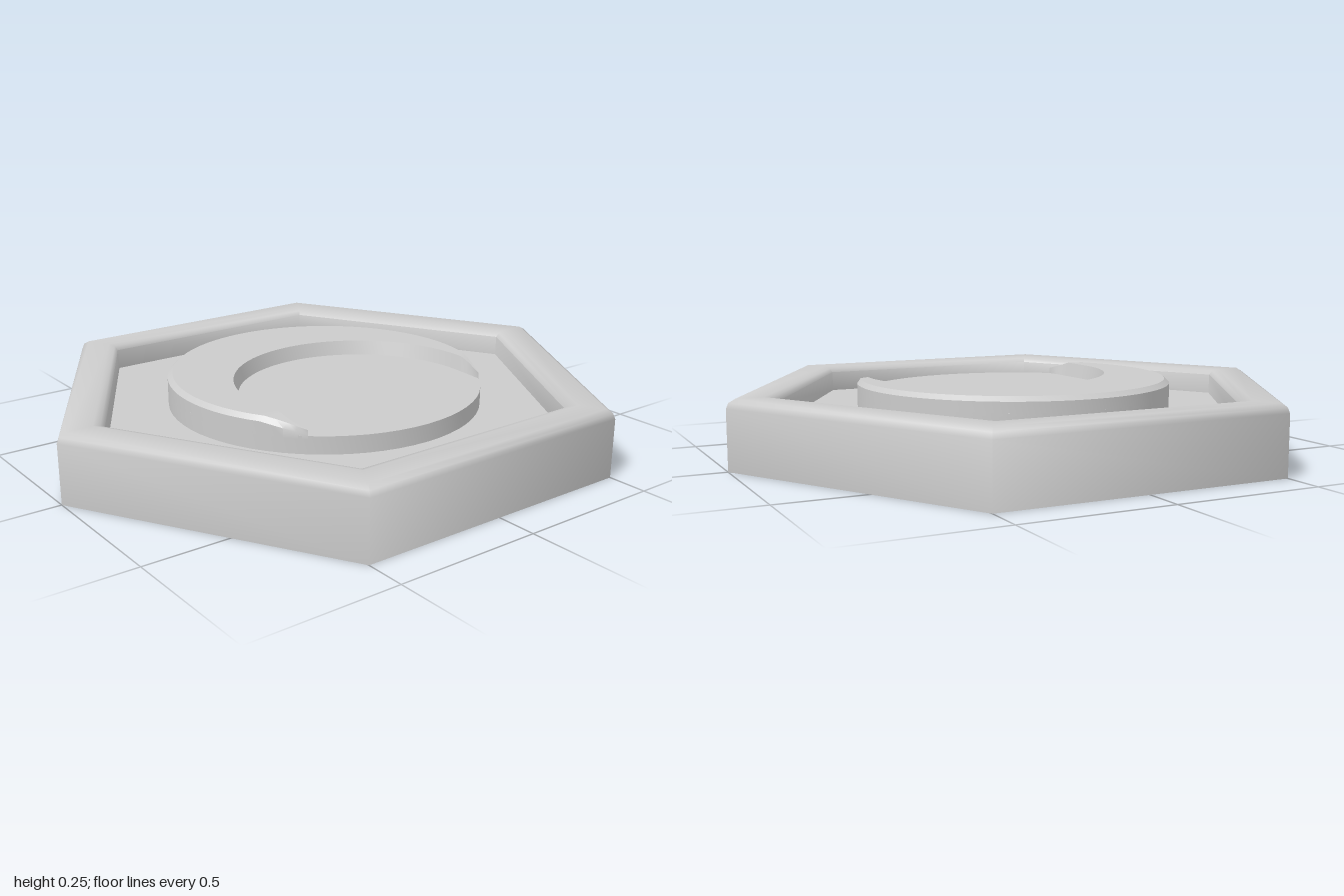
import * as THREE from 'three';
import { toCreasedNormals } from 'three/addons/utils/BufferGeometryUtils.js';

const material = new THREE.MeshStandardMaterial({ color: 0xcccccc });

function addPart(group, name, geometry, crease) {
  const mesh = new THREE.Mesh(toCreasedNormals(geometry, crease), material);
  mesh.name = name;
  group.add(mesh);
}

const lathe = (profile, sides) =>
  new THREE.LatheGeometry(profile.map(([r, y]) => new THREE.Vector2(r, y)), sides);

const DISC_RADIUS = 0.54;
const DISC_TOP = 0.2;

// Crescent: bevelled cross-sections swept from one tip to the other
function crescentGeometry() {
  const steps = 64;
  const cut = { x: 0.165, z: -0.035, r: 0.415 };
  const tipBack = new THREE.Vector2(0.31, -0.443);
  const tipFront = new THREE.Vector2(0.4, 0.363);

  // Inner edge: half circle with a short straight run out to each tip
  const inner = new THREE.CurvePath();
  const arcStart = new THREE.Vector2(cut.x, cut.z - cut.r);
  const arcEnd = new THREE.Vector2(cut.x, cut.z + cut.r);
  inner.add(new THREE.LineCurve(tipBack, arcStart));
  inner.add(new THREE.EllipseCurve(cut.x, cut.z, cut.r, cut.r, -Math.PI / 2, -Math.PI * 1.5, true));
  inner.add(new THREE.LineCurve(arcEnd, tipFront));

  // Outer edge follows the disc from tip to tip
  const a0 = tipBack.angle();
  const a1 = tipFront.angle();
  const positions = [];
  const index = [];
  const ring = 5;

  for (let i = 0; i <= steps; i++) {
    const t = i / steps;
    const angle = a0 + (a1 - a0) * t;
    const out = new THREE.Vector2(Math.cos(angle), Math.sin(angle)).multiplyScalar(DISC_RADIUS);
    const inn = inner.getPointAt(t);
    const across = inn.clone().sub(out);
    const bevel = Math.min(0.018, across.length() * 0.3);
    across.normalize().multiplyScalar(bevel);
    // The top sinks toward both tips
    const rise = 0.02 + 0.03 * Math.min(1, Math.min(t, 1 - t) / 0.06);
    const top = DISC_TOP + rise;
    const section = [
      [out, DISC_TOP - 0.01],
      [out, top - 0.015],
      [out.clone().add(across), top],
      [inn.clone().sub(across), top],
      [inn, DISC_TOP - 0.01],
    ];
    section.forEach(([p, y]) => positions.push(p.x, y, p.y));
    if (i === steps) continue;
    for (let j = 0; j < ring; j++) {
      const a = i * ring + j;
      const b = i * ring + ((j + 1) % ring);
      index.push(a, b, a + ring, b, b + ring, a + ring);
    }
  }
  // Tip caps
  const last = steps * ring;
  for (let j = 1; j < ring - 1; j++) {
    index.push(0, j + 1, j, last, last + j, last + j + 1);
  }

  const geometry = new THREE.BufferGeometry();
  geometry.setAttribute('position', new THREE.Float32BufferAttribute(positions, 3));
  geometry.setIndex(index);

  // Make the winding face outwards, judged by the signed volume
  const v = (k) => new THREE.Vector3().fromArray(positions, index[k] * 3);
  let volume = 0;
  for (let k = 0; k < index.length; k += 3) volume += v(k).dot(v(k + 1).cross(v(k + 2)));
  if (volume < 0) geometry.setIndex(index.reverse());
  return geometry;
}

export function createModel() {
  const group = new THREE.Group();
  group.name = 'hexagonalToken';

  // Six-sided tray with a softened rim and a sunken floor
  addPart(group, 'hexagonalTray', lathe([
    [0, 0], [1, 0], [1, 0.2], [0.992, 0.218], [0.97, 0.23],
    [0.88, 0.23], [0.855, 0.224], [0.842, 0.21], [0.84, 0.14], [0, 0.14],
  ], 6), 1.1);

  // Flat disc standing on the floor
  addPart(group, 'disc', lathe([
    [DISC_RADIUS, 0.135], [DISC_RADIUS, DISC_TOP], [0, DISC_TOP],
  ], 64), 0.6);

  // Raised crescent along the disc's edge
  addPart(group, 'crescent', crescentGeometry(), 0.6);

  return group;
}
